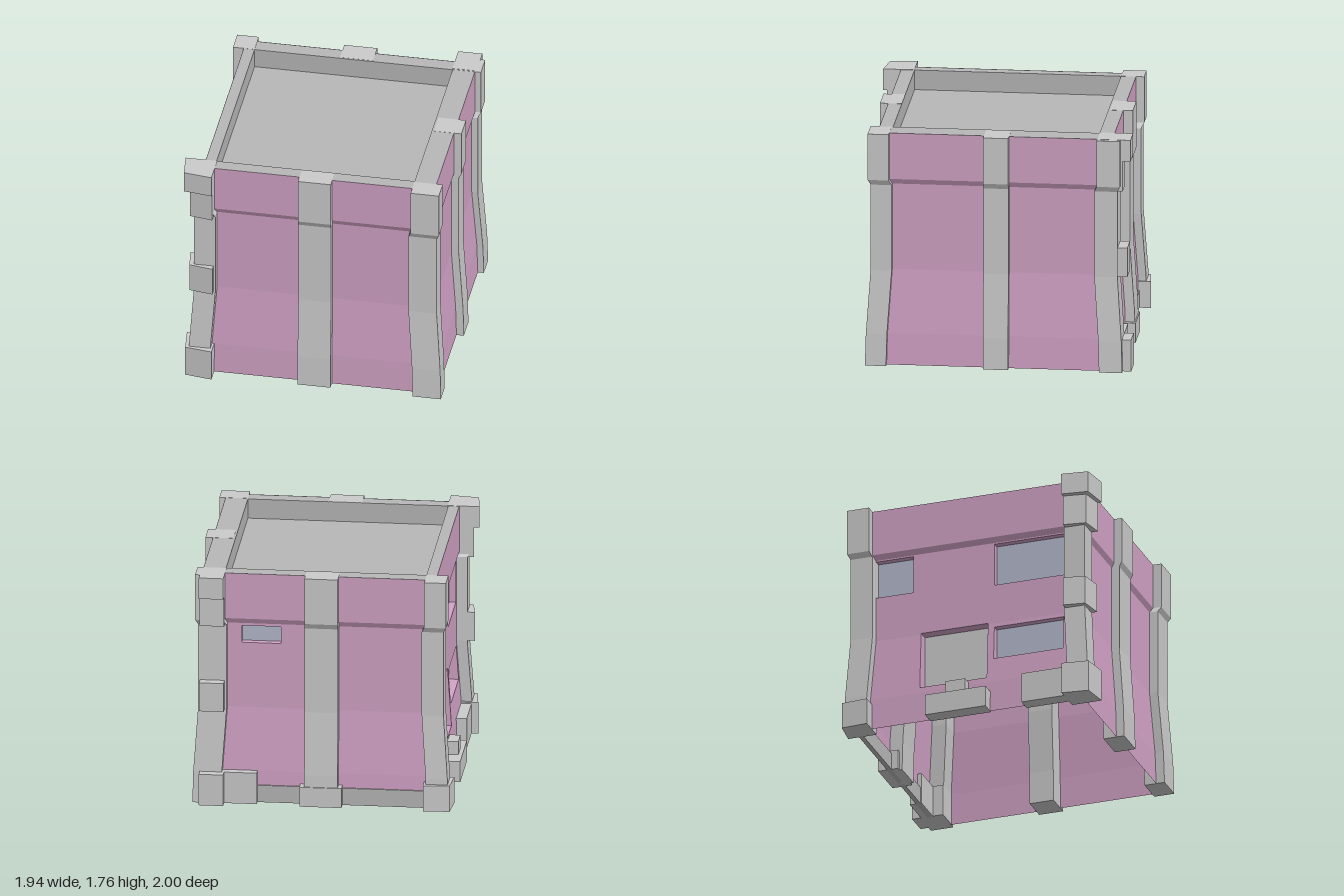
import * as THREE from 'three';

const mat = (color, extra = {}) => new THREE.MeshStandardMaterial({ color, flatShading: true, ...extra });

// Outward shift of walls and pillars by height: wide top band, narrow middle, flared foot
const PROFILE = [[0, 0.018], [0.24, 0.012], [0.72, -0.02], [1.37, -0.02], [1.41, 0], [1.76, 0]];
const TOP = 1.76;

function outset(y) {
  for (let i = 1; i < PROFILE.length; i++) {
    const [y0, a] = PROFILE[i - 1], [y1, b] = PROFILE[i];
    if (y <= y1) return a + (b - a) * (y - y0) / (y1 - y0);
  }
  return 0;
}

export function createModel() {
  const model = new THREE.Group();
  const stoneMat = mat(0xcccfcd);
  const plainMat = mat(0xb8b8b8);
  const wallMat = mat(0xd2a3c6, { side: THREE.DoubleSide });
  const glassMat = mat(0xb4b9cc, { side: THREE.DoubleSide });
  const doorMat = mat(0xcccfcd, { side: THREE.DoubleSide });

  const add = (name, geo, material, parent = model) => {
    const mesh = new THREE.Mesh(geo, material);
    mesh.name = name;
    parent.add(mesh);
    return mesh;
  };

  // Upright block over a floor outline of [x, z] corners
  function block(name, pts, y0, y1, material = stoneMat) {
    const shape = new THREE.Shape(pts.map(([x, z]) => new THREE.Vector2(x, -z)));
    const geo = new THREE.ExtrudeGeometry(shape, { depth: y1 - y0, bevelEnabled: false });
    geo.rotateX(-Math.PI / 2).translate(0, y0, 0);
    return add(name, geo, material);
  }
  const rect = (x0, x1, z0, z1) => [[x0, z0], [x1, z0], [x1, z1], [x0, z1]];

  // Pillar whose sections slide outward (sx, sz) along the profile
  function pillar(name, x0, x1, z0, z1, sx, sz) {
    const n = PROFILE.length - 1;
    const geo = new THREE.BoxGeometry(x1 - x0, n, z1 - z0, 1, n, 1);
    const p = geo.attributes.position;
    for (let i = 0; i < p.count; i++) {
      const [y, o] = PROFILE[Math.round(p.getY(i) + n / 2)];
      p.setXYZ(i, p.getX(i) + (x0 + x1) / 2 + sx * o, y, p.getZ(i) + (z0 + z1) / 2 + sz * o);
    }
    geo.computeVertexNormals();
    add(name, geo, stoneMat);
  }

  // Bent wall sheet with recessed openings { name, u: [a, b], y: [a, b], depth, material }
  function wall(name, turn, x, z, u0, u1, openings = []) {
    const group = new THREE.Group();
    group.name = name;
    group.position.set(x, 0, z);
    group.rotation.y = turn;
    model.add(group);
    const sorted = (list) => [...new Set(list)].sort((a, b) => a - b);
    const us = sorted([u0, u1, ...openings.flatMap((o) => o.u)]);
    const ys = sorted([...PROFILE.map((p) => p[0]), ...openings.flatMap((o) => o.y)]);
    const pos = [];
    const quad = (a, b, c, d) => pos.push(...a, ...b, ...c, ...a, ...c, ...d);
    const at = (u, y) => [u, y, outset(y)];
    for (let i = 1; i < us.length; i++) {
      for (let j = 1; j < ys.length; j++) {
        const cu = (us[i] + us[i - 1]) / 2, cy = (ys[j] + ys[j - 1]) / 2;
        if (openings.some((o) => cu > o.u[0] && cu < o.u[1] && cy > o.y[0] && cy < o.y[1])) continue;
        quad(at(us[i - 1], ys[j - 1]), at(us[i], ys[j - 1]), at(us[i], ys[j]), at(us[i - 1], ys[j]));
      }
    }
    for (const { name: part, u: [a, b], y: [c, d], depth, material } of openings) {
      // Reveals around the opening, then the panel at its back
      const ring = [[a, c], [b, c], [b, d], [a, d]];
      ring.forEach((p, k) => {
        const q = ring[(k + 1) % 4];
        quad(at(...p), [...p, -depth], [...q, -depth], at(...q));
      });
      const panel = new THREE.PlaneGeometry(b - a, d - c);
      panel.translate((a + b) / 2, (c + d) / 2, -depth);
      add(part, panel, material, group);
    }
    const geo = new THREE.BufferGeometry();
    geo.setAttribute('position', new THREE.Float32BufferAttribute(pos, 3));
    geo.computeVertexNormals();
    add(name + 'Sheet', geo, wallMat, group);
  }

  const win = (u, y) => ({ name: 'window', u, y, depth: 0.07, material: glassMat });
  wall('frontWall', 0, 0, 0.87, -0.82, 0.9);
  wall('rightWall', Math.PI / 2, 0.9, 0, -0.87, 0.86);
  wall('backWall', Math.PI, 0, -0.86, -0.9, 0.82, [win([-0.61, -0.32], [1.22, 1.35])]);
  wall('entranceWall', -Math.PI / 2, -0.82, 0, -0.86, 0.87, [
    win([0.19, 0.73], [1.03, 1.36]),
    win([0.19, 0.73], [0.43, 0.69]),
    win([-0.74, -0.44], [1.07, 1.36]),
    { name: 'door', u: [-0.38, 0.14], y: [0.28, 0.73], depth: 0.1, material: doorMat },
  ]);

  // Flat roof sunk behind a parapet
  const rim = new THREE.Shape(rect(-0.82, 0.9, -0.87, 0.86).map((p) => new THREE.Vector2(...p)));
  rim.holes.push(new THREE.Path(rect(-0.74, 0.735, -0.77, 0.75).map((p) => new THREE.Vector2(...p))));
  const parapet = new THREE.ExtrudeGeometry(rim, { depth: 0.16, bevelEnabled: false });
  parapet.rotateX(-Math.PI / 2).translate(0, TOP - 0.161, 0);
  parapet.scale(0.999, 1, 0.999);
  add('parapet', parapet, plainMat);
  block('roof', rect(-0.78, 0.8, -0.8, 0.82), 1.59, 1.61, plainMat);

  // Corner pillars
  pillar('frontRightPillar', 0.735, 0.945, 0.78, 0.935, 1, 1);
  pillar('frontLeftPillar', -0.9, -0.74, 0.78, 0.94, -1, 1);
  pillar('backLeftPillar', -0.9, -0.74, -0.92, -0.75, -1, -1);
  pillar('backRightPillar', 0.735, 0.945, -0.92, -0.75, 1, -1);

  // Middle pillars
  pillar('frontMiddlePillar', -0.105, 0.14, 0.77, 0.93, 0, 1);
  pillar('backMiddlePillar', -0.105, 0.14, -0.93, -0.76, 0, -1);
  pillar('rightMiddlePillar', 0.75, 0.955, -0.1, 0.085, 1, 0);

  // Skewed quoin stones on the front corner beside the entrance
  const skew = (x, z) => [[x, 0.77], [x + 0.025, z - 0.03], [-0.735, z], [-0.735, 0.77]];
  for (const [x, z, y0, y1] of [
    [-0.97, 1, 1.6, TOP + 0.002], [-0.93, 0.97, 1.37, 1.6], [-0.935, 0.965, 0.72, 0.94], [-0.96, 1, 0, 0.24],
  ]) block('frontQuoin', skew(x, z), y0, y1);

  // Quoin stones on the opposite back corner
  for (const [z, y0, y1] of [
    [-0.995, 1.6, TOP + 0.002], [-0.937, 1.37, 1.6], [-0.972, 0.72, 0.94], [-1, 0, 0.24],
  ]) block('backQuoin', rect(0.73, 0.91, z, -0.76), y0, y1);

  // Footings and loose base stones
  block('cornerFooting', [[-0.945, -0.75], [-0.93, -0.95], [-0.735, -0.97], [-0.735, -0.75]], 0, 0.2);
  block('backMiddleFooting', rect(-0.135, 0.175, -0.953, -0.8), 0, 0.15);
  block('backBaseStone', rect(0.49, 0.735, -0.932, -0.84), 0, 0.24);
  block('entranceBaseStone', rect(-0.91, -0.8, 0.44, 0.78), 0, 0.23);
  block('backPlinth', rect(-0.76, 0.76, -0.885, -0.85), 0, 0.13, plainMat);

  // Entrance steps
  block('lowerStep', rect(-0.94, -0.82, -0.3, 0.17), 0, 0.16);
  block('upperStep', rect(-0.91, -0.8, -0.15, 0.0), 0.16, 0.26);

  return model;
}
